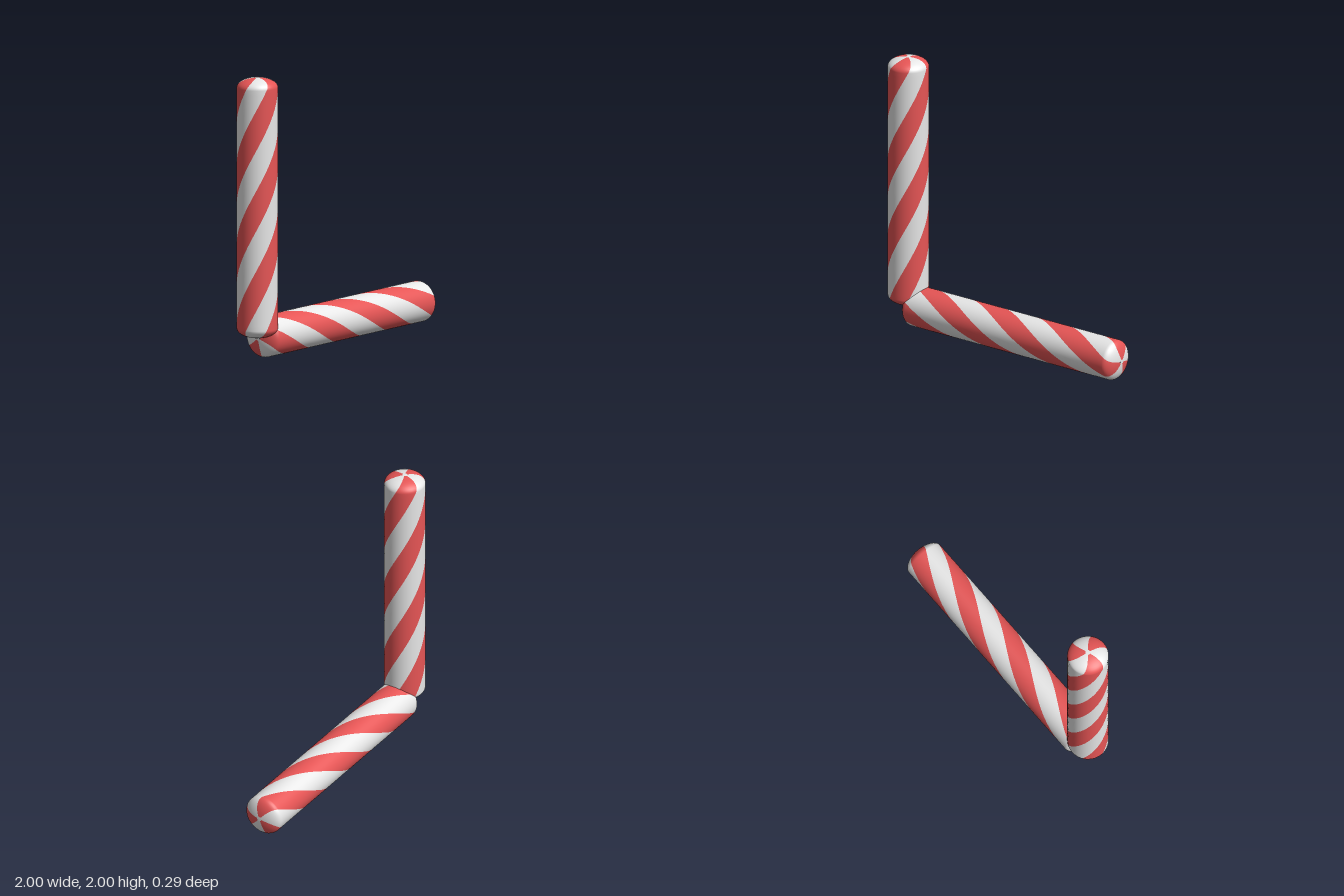
import * as THREE from 'three';

const RADIUS = 0.145, HALF = 0.925, CAP = 0.07, POLE = 0.12, STRIPES = 6;
const red = new THREE.MeshStandardMaterial({ name: 'candy red', color: 0xe65555 });
const white = new THREE.MeshStandardMaterial({ name: 'sugar white', color: 0xe8e8e8 });

// Points on the upper dome between two angles (0 = rim, PI / 2 = pole)
function dome(from, to, steps) {
  return Array.from({ length: steps + 1 }, (_, i) => {
    const a = from + (to - from) * i / steps;
    return new THREE.Vector2(Math.max(0, RADIUS * Math.cos(a)), HALF - CAP + CAP * Math.sin(a));
  });
}

const flip = points => points.map(p => new THREE.Vector2(p.x, -p.y)).reverse();

// Full stick profile from bottom to top, without the small pole discs
function stripeProfile() {
  const top = dome(0, Math.PI / 2 - POLE, 10);
  const side = [];
  for (let i = 1; i < 48; i++) side.push(new THREE.Vector2(RADIUS, (HALF - CAP) * (i / 24 - 1)));
  return [...flip(top), ...side, ...top];
}

// One sixth of the stick, twisted by one full turn from rim to rim
function stripeGeometry(start) {
  const sector = 2 * Math.PI / STRIPES;
  const geometry = new THREE.LatheGeometry(stripeProfile(), 10, start, sector);
  const { position, normal } = geometry.attributes;
  const v = new THREE.Vector3(), up = new THREE.Vector3(0, 1, 0);
  for (let i = 0; i < position.count; i++) {
    const twist = Math.PI * position.getY(i) / (HALF - CAP);
    for (const attribute of [position, normal]) {
      v.fromBufferAttribute(attribute, i).applyAxisAngle(up, twist);
      attribute.setXYZ(i, v.x, v.y, v.z);
    }
  }
  return geometry;
}

function createStick(name) {
  const stick = new THREE.Group();
  stick.name = name;
  // Spiral stripes, alternating red and white
  for (let i = 0; i < STRIPES; i++) {
    const start = Math.PI + 0.1 + (i - 0.5) * 2 * Math.PI / STRIPES;
    const stripe = new THREE.Mesh(stripeGeometry(start), i % 2 ? white : red);
    stripe.name = i % 2 ? 'whiteStripe' : 'redStripe';
    stick.add(stripe);
  }
  // White spot at the middle of each end
  const tip = dome(Math.PI / 2 - POLE, Math.PI / 2, 2);
  for (const [label, points] of [['topSpot', tip], ['bottomSpot', flip(tip)]]) {
    const spot = new THREE.Mesh(new THREE.LatheGeometry(points, 30), white);
    spot.name = label;
    stick.add(spot);
  }
  return stick;
}

export function createModel() {
  const model = new THREE.Group();
  model.name = 'candySticks';
  const upright = createStick('uprightStick');
  upright.position.set(-1 + RADIUS, 2 - HALF, 0);
  const lying = createStick('lyingStick');
  lying.rotation.z = -Math.PI / 2;
  lying.position.set(1 - HALF, RADIUS, 0);
  model.add(upright, lying);
  return model;
}
